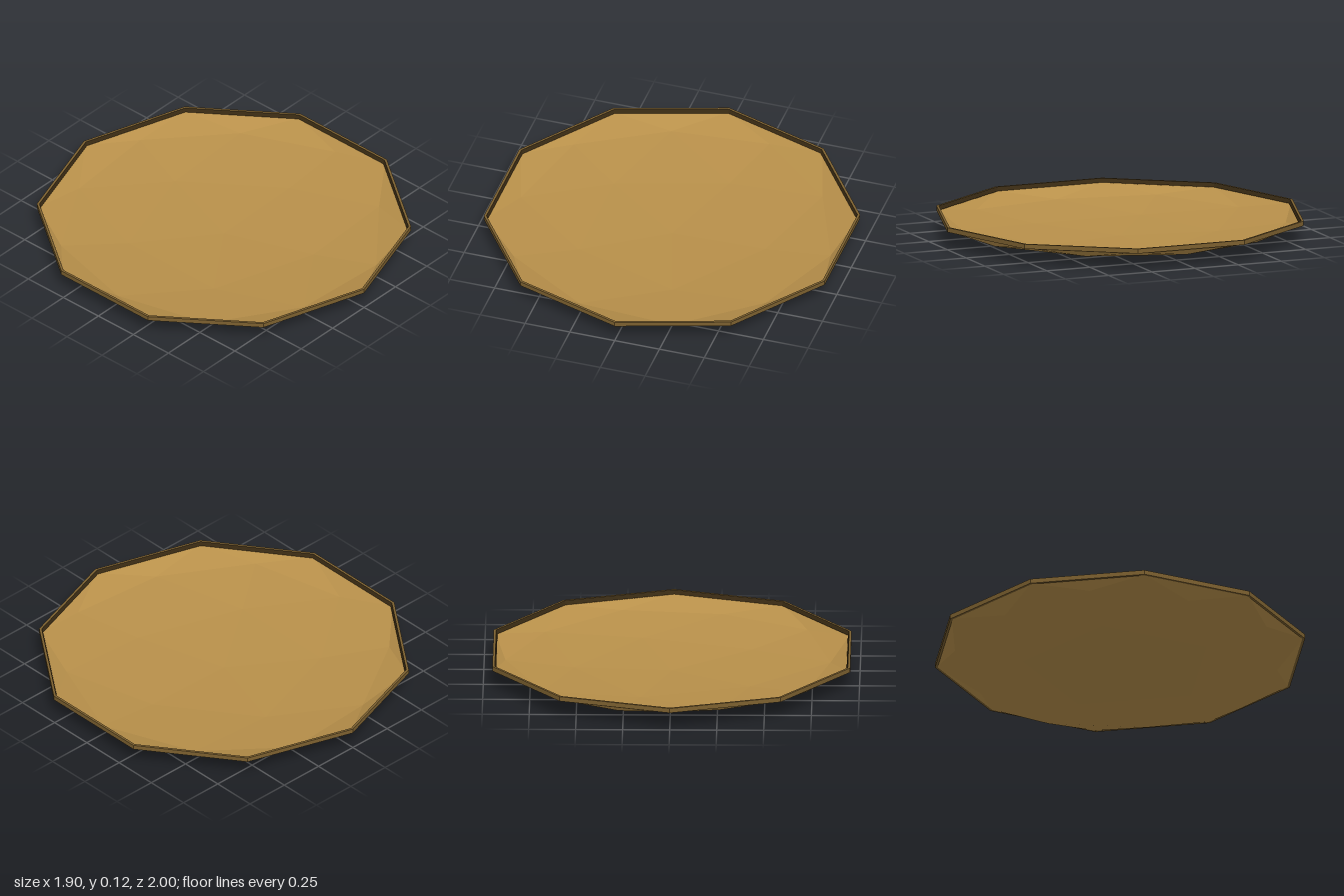
import * as THREE from 'three';

const flat = (name, color) => {
  const m = new THREE.MeshStandardMaterial({ color, flatShading: true, side: THREE.DoubleSide });
  m.name = name;
  return m;
};

// Point on a level ring; angles in degrees, 0 = +x
const at = (r, deg, y) => {
  const a = THREE.MathUtils.degToRad(deg);
  return [r * Math.cos(a), y, r * Math.sin(a)];
};

// Lower half of a squashed faceted sphere, five-fold around the y axis
function bowlGeometry(R, top, depth) {
  const level = (r, drop, deg) => at(r * R, deg, top - drop * depth);
  const pole = [0, top - depth, 0];
  const inner = (i) => level(0.526, 0.851, 72 * i);
  const middle = (k) => (k % 2 ? level(0.851, 0.526, 36 * k) : level(0.894, 0.447, 36 * k));
  const edge = (k) => level(1, 0, 36 * k + 18);
  const v = [];
  const tri = (...p) => p.forEach((q) => v.push(...q));
  for (let i = 0; i < 5; i++) {
    tri(pole, inner(i + 1), inner(i));
    tri(inner(i), inner(i + 1), middle(2 * i + 1));
    tri(inner(i), middle(2 * i + 1), middle(2 * i));
    tri(inner(i + 1), middle(2 * i + 2), middle(2 * i + 1));
  }
  for (let k = 0; k < 10; k++) {
    tri(middle(k), middle(k + 1), edge(k));
    tri(middle(k + 1), edge(k + 1), edge(k));
  }
  const g = new THREE.BufferGeometry();
  g.setAttribute('position', new THREE.Float32BufferAttribute(v, 3));
  g.computeVertexNormals();
  return g;
}

// Ten-sided ring from a profile of [radius, y]
const ringGeometry = (profile) =>
  new THREE.LatheGeometry(profile.map(([r, y]) => new THREE.Vector2(r, y)), 10);

export function createModel() {
  const group = new THREE.Group();
  group.name = 'shallowDish';
  const gold = flat('gold', 0xb8904a);
  const brown = flat('brown', 0x7c602f);
  const dark = flat('darkBrown', 0x3a2b13);

  const add = (name, geometry, material) => {
    const mesh = new THREE.Mesh(geometry, material);
    mesh.name = name;
    group.add(mesh);
  };

  // Faceted bowl
  add('bowl', bowlGeometry(0.99, 0.098, 0.098), gold);
  // Rim band with its flat top and underside
  add('rim', ringGeometry([[0.985, 0.095], [1, 0.095], [1, 0.12], [0.986, 0.12]]), brown);
  // Dark inner face of the rim
  add('rimInnerEdge', ringGeometry([[0.986, 0.12], [0.979, 0.098]]), dark);
  return group;
}
